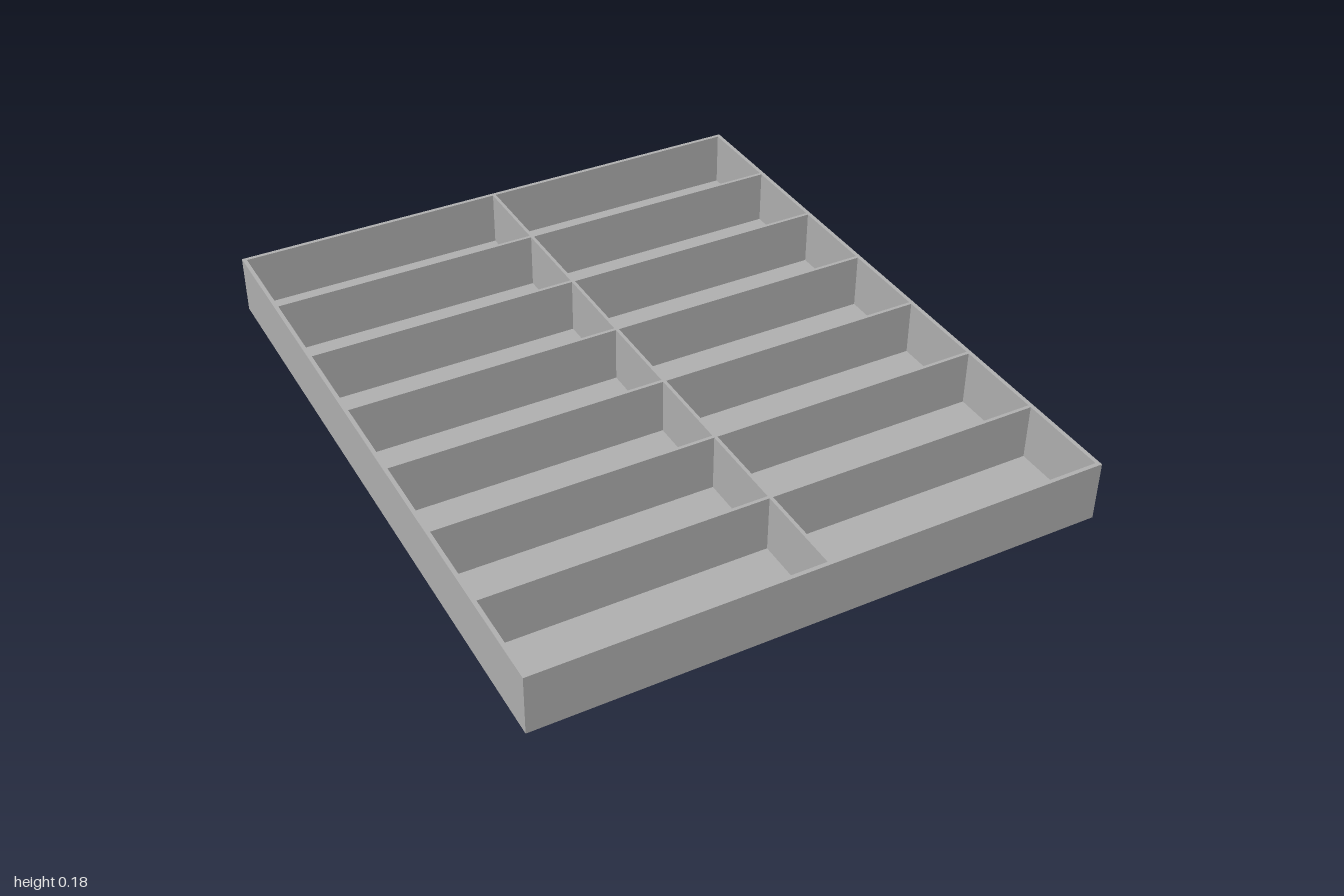
import * as THREE from 'three';

const WIDTH = 1.66, DEPTH = 2, HEIGHT = 0.18;
const WALL = 0.012, DIVIDER = 0.01, FLOOR = 0.012;
const COLUMNS = 2, ROWS = 7;

// Rectangle from its lower corner, as a Shape or a Path
function rectangle(Type, x, y, w, h) {
  const r = new Type();
  r.moveTo(x, y);
  r.lineTo(x + w, y);
  r.lineTo(x + w, y + h);
  r.lineTo(x, y + h);
  r.closePath();
  return r;
}

export function createModel() {
  const tray = new THREE.Group();
  tray.name = 'compartmentTray';
  const grey = new THREE.MeshStandardMaterial({ color: 0xb0b0b0 });
  grey.name = 'grey';

  // Floor plate
  const floor = new THREE.Mesh(new THREE.BoxGeometry(WIDTH, FLOOR, DEPTH), grey);
  floor.name = 'floor';
  floor.position.y = FLOOR / 2;
  tray.add(floor);

  // Outer walls and dividers: one slab pierced by a grid of compartments
  const outline = rectangle(THREE.Shape, -WIDTH / 2, -DEPTH / 2, WIDTH, DEPTH);
  const cellW = (WIDTH - 2 * WALL - (COLUMNS - 1) * DIVIDER) / COLUMNS;
  const cellD = (DEPTH - 2 * WALL - (ROWS - 1) * DIVIDER) / ROWS;
  for (let c = 0; c < COLUMNS; c++) {
    for (let r = 0; r < ROWS; r++) {
      const x = -WIDTH / 2 + WALL + c * (cellW + DIVIDER);
      const y = -DEPTH / 2 + WALL + r * (cellD + DIVIDER);
      outline.holes.push(rectangle(THREE.Path, x, y, cellW, cellD));
    }
  }
  const geometry = new THREE.ExtrudeGeometry(outline, { depth: HEIGHT - FLOOR, bevelEnabled: false });
  geometry.rotateX(-Math.PI / 2);
  const walls = new THREE.Mesh(geometry, grey);
  walls.name = 'wallsAndDividers';
  walls.position.y = FLOOR;
  tray.add(walls);

  return tray;
}
